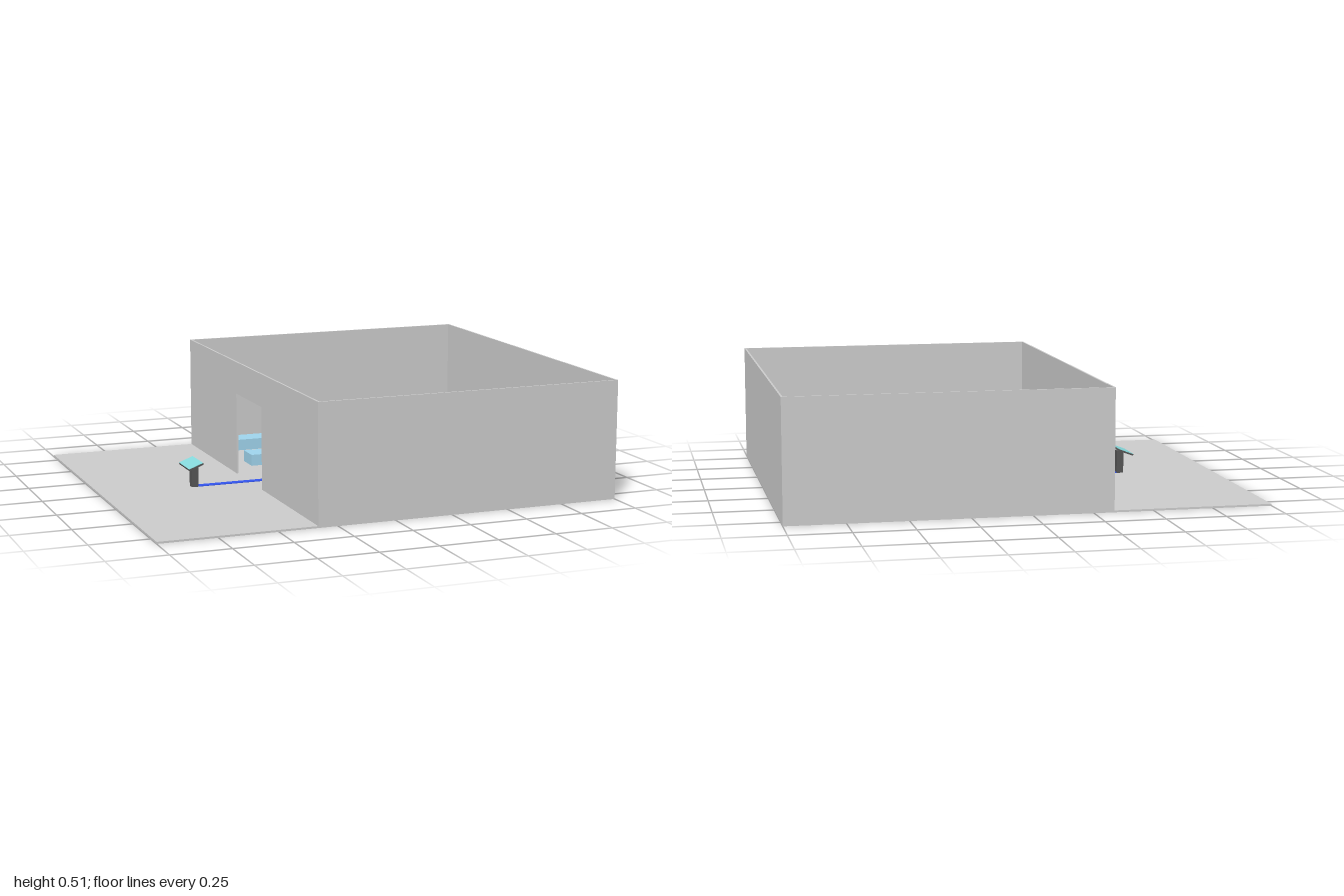
import * as THREE from 'three';

const FLOOR = 0.008;   // floor slab thickness
const WALL = 0.008;    // wall thickness
const TOP = 0.508;     // wall top
const DEPTH = 0.83;    // half depth
const X0 = -0.335;     // doorway wall

const mat = (color) => new THREE.MeshStandardMaterial({ color, flatShading: true });

export function createModel() {
  const model = new THREE.Group();
  model.name = 'shopInterior';
  const grey = mat(0xcccccc);
  const dark = mat(0x555555);
  const blue = mat(0x3355ee);
  const lightBlue = mat(0x9fd4ec);
  const green = mat(0x8fe57f);
  const tan = mat(0xd8cc7a);
  const teal = mat(0x86d9dc);

  function add(name, geometry, material, parent = model) {
    const mesh = new THREE.Mesh(geometry, material);
    mesh.name = name;
    parent.add(mesh);
    return mesh;
  }

  // Box given by its extents on each axis
  function box(name, [x1, x2], [y1, y2], [z1, z2], material) {
    const mesh = add(name, new THREE.BoxGeometry(x2 - x1, y2 - y1, z2 - z1), material);
    mesh.position.set((x1 + x2) / 2, (y1 + y2) / 2, (z1 + z2) / 2);
    return mesh;
  }

  // Floor slab and the three plain walls
  box('floor', [-1, 1], [0, FLOOR], [-DEPTH, DEPTH], grey);
  box('frontWall', [X0, 1], [FLOOR, TOP], [DEPTH - WALL, DEPTH], grey);
  box('backWall', [X0, 1], [FLOOR, TOP], [-DEPTH, -DEPTH + WALL], grey);
  box('leftWall', [1 - WALL, 1], [FLOOR, TOP], [-DEPTH + WALL, DEPTH - WALL], grey);

  // Wall with a doorway, drawn in the z-y plane
  const inner = DEPTH - WALL;
  const outline = [
    [-inner, FLOOR], [-0.165, FLOOR], [-0.165, 0.367], [0.165, 0.367],
    [0.165, FLOOR], [inner, FLOOR], [inner, TOP], [-inner, TOP],
  ];
  const doorShape = new THREE.Shape(outline.map(([z, y]) => new THREE.Vector2(z, y)));
  const doorWall = add('doorwayWall',
    new THREE.ExtrudeGeometry(doorShape, { depth: WALL, bevelEnabled: false }), grey);
  doorWall.rotation.y = -Math.PI / 2;
  doorWall.position.x = X0 + WALL;

  // Guiding path and highlighted area on the floor
  const strip = [FLOOR, FLOOR + 0.003];
  box('pathAcross', [-0.57, 0.347], strip, [-0.016, 0.016], blue);
  box('pathAlong', [0.315, 0.347], strip, [0.016, 0.515], blue);
  box('highlightedArea', [0, 0.663], strip, [0.515, DEPTH - WALL], blue);

  // Grid of display shelves, two of them highlighted
  [-0.667, -0.337, 0.333, 0.665].forEach((z, row) => {
    [-0.12, 0.183, 0.482, 0.78].forEach((x, col) => {
      const marked = row === 3 && (col === 1 || col === 2);
      box(marked ? 'highlightedShelf' : 'shelf', [x - 0.104, x + 0.104],
        [FLOOR, FLOOR + 0.05], [z - 0.053, z + 0.053], marked ? green : lightBlue);
    });
  });

  // L-shaped counter, shape y mapped to -z
  const counterShape = new THREE.Shape([
    [0.79, 0.205], [0.79, -0.2], [0.985, -0.2],
    [0.985, -0.095], [0.86, -0.095], [0.86, 0.205],
  ].map(([x, y]) => new THREE.Vector2(x, y)));
  const counter = add('counter',
    new THREE.ExtrudeGeometry(counterShape, { depth: 0.067, bevelEnabled: false }), tan);
  counter.rotation.x = -Math.PI / 2;
  counter.position.y = FLOOR;

  // Information stand: post with a tilted panel and screen
  box('standPost', [-0.6, -0.57], [FLOOR, 0.107], [-0.016, 0.016], dark);
  const panel = new THREE.Group();
  panel.name = 'standPanel';
  panel.position.set(-0.597, 0.108, 0);
  panel.rotation.z = 0.36;
  model.add(panel);
  add('panelBody', new THREE.BoxGeometry(0.068, 0.007, 0.146), dark, panel);
  add('screen', new THREE.BoxGeometry(0.066, 0.002, 0.144), teal, panel).position.y = 0.0043;

  return model;
}
